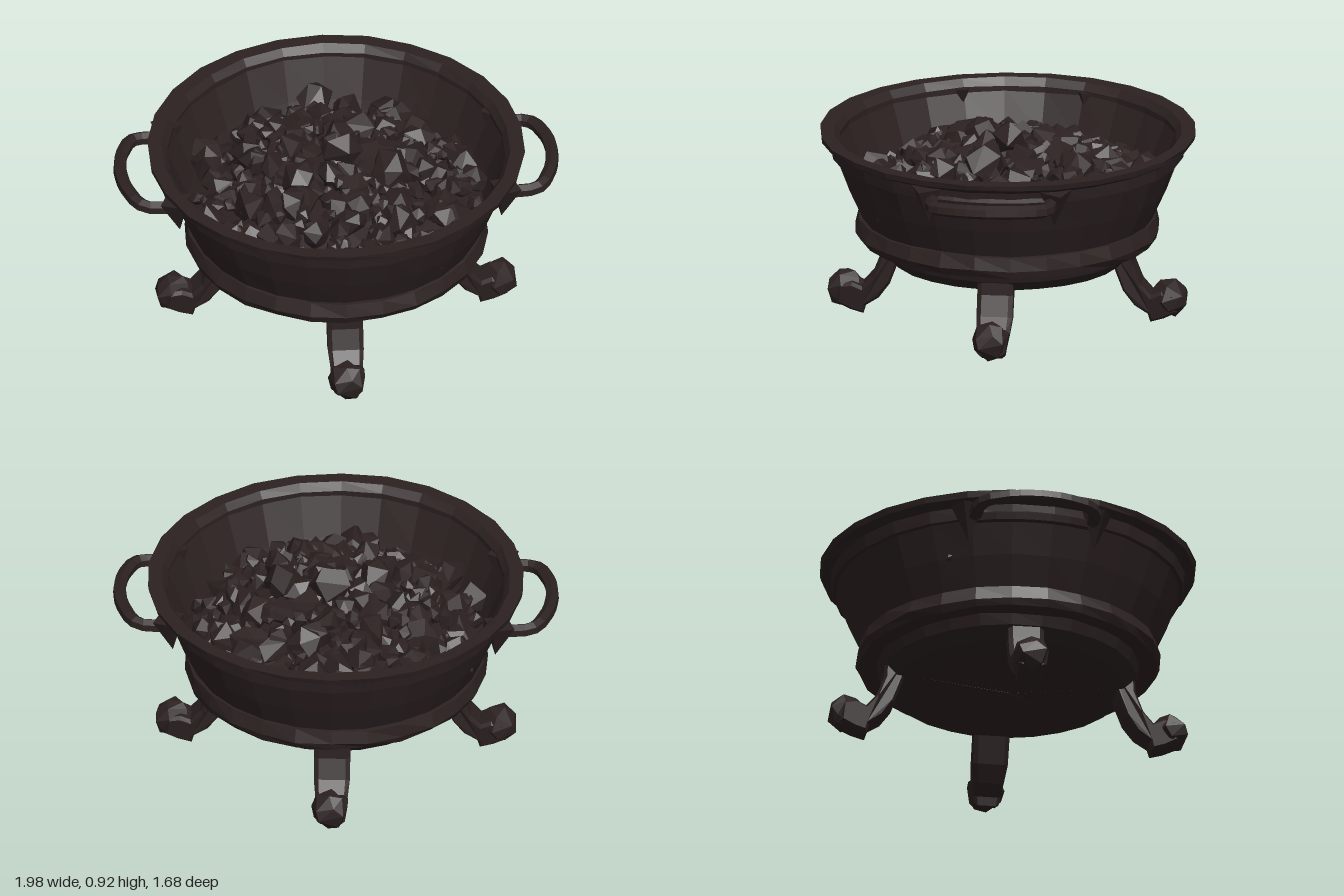
import * as THREE from 'three';
import { ConvexGeometry } from 'three/addons/geometries/ConvexGeometry.js';

function makeRandom(seed) {
  return () => {
    seed = (seed * 16807) % 2147483647;
    return seed / 2147483647;
  };
}

const SIDES = 26;
const v2 = ([x, y]) => new THREE.Vector2(x, y);

// Lathed ring or bowl, with slight hammered unevenness per vertex
function lathe(points, wobble, rand) {
  const geo = new THREE.LatheGeometry(points.map(v2), SIDES);
  const pos = geo.attributes.position;
  const n = points.length;
  const bumps = Array.from({ length: SIDES * n }, () => [rand() - 0.5, rand() - 0.5]);
  for (let i = 0; i < pos.count; i++) {
    const profileIndex = i % n;
    const side = Math.floor(i / n) % SIDES;
    // closed profiles share their first and last point
    const closed = points[0][0] === points[n - 1][0] && points[0][1] === points[n - 1][1];
    const [a, b] = bumps[side * n + (closed && profileIndex === n - 1 ? 0 : profileIndex)];
    const k = 1 + a * wobble;
    pos.setXYZ(i, pos.getX(i) * k, pos.getY(i) + b * wobble * 0.5, pos.getZ(i) * k);
  }
  return geo;
}

// Irregular faceted lump
function lump(rand, points) {
  const pts = [];
  for (let i = 0; i < points; i++) {
    const y = 1 - (2 * (i + 0.5)) / points;
    const a = i * 2.4 + rand() * 0.9;
    const r = Math.sqrt(1 - y * y);
    const s = 0.85 + rand() * 0.25;
    pts.push(new THREE.Vector3(Math.cos(a) * r * s, y * s, Math.sin(a) * r * s));
  }
  return new ConvexGeometry(pts);
}

export function createModel() {
  const rand = makeRandom(4271);
  const iron = new THREE.MeshStandardMaterial({ color: 0x2c2121, flatShading: true });
  iron.name = 'dark iron';
  const model = new THREE.Group();
  model.name = 'brazier';

  const add = (parent, name, geo) => {
    const mesh = new THREE.Mesh(geo, iron);
    mesh.name = name;
    parent.add(mesh);
    return mesh;
  };

  // Bowl: underside, outer wall, lip, inner wall and floor
  add(model, 'bowl', lathe([
    [0, 0.27], [0.45, 0.27], [0.52, 0.29], [0.57, 0.34], [0.59, 0.40],
    [0.645, 0.48], [0.71, 0.62], [0.765, 0.77], [0.79, 0.84],
    [0.775, 0.868], [0.755, 0.83], [0.68, 0.64], [0.62, 0.5], [0, 0.48],
  ], 0.004, rand));

  // Flared rim
  add(model, 'rim', lathe([
    [0.75, 0.765], [0.782, 0.77], [0.79, 0.825], [0.832, 0.848], [0.838, 0.874],
    [0.775, 0.874], [0.75, 0.84], [0.75, 0.765],
  ], 0.007, rand));

  // Chipped band around the lower wall
  add(model, 'lowerBand', lathe([
    [0.56, 0.388], [0.66, 0.39], [0.677, 0.425], [0.662, 0.485], [0.63, 0.49], [0.56, 0.388],
  ], 0.018, rand));

  // Four curled legs
  const legOutline = [
    [0.46, 0.37], [0.475, 0.28], [0.52, 0.16], [0.57, 0.09], [0.63, 0.05], [0.64, 0.012],
    [0.70, 0.03], [0.76, 0.06], [0.75, 0.15], [0.69, 0.16], [0.645, 0.14],
    [0.60, 0.19], [0.565, 0.28], [0.56, 0.37],
  ];
  const legGeo = new THREE.ExtrudeGeometry(new THREE.Shape(legOutline.map(v2)), {
    depth: 0.12, bevelEnabled: true, bevelSize: 0.012, bevelOffset: -0.012,
    bevelThickness: 0.02, bevelSegments: 1,
  });
  legGeo.translate(0, 0, -0.06);
  const lp = legGeo.attributes.position;
  for (let i = 0; i < lp.count; i++) {
    const taper = THREE.MathUtils.clamp(0.65 + lp.getY(i) * 2, 0.65, 1);
    lp.setZ(i, lp.getZ(i) * taper);
  }
  const footGeo = lump(rand, 22);
  for (let i = 0; i < 4; i++) {
    const leg = new THREE.Group();
    leg.name = 'leg' + (i + 1);
    add(leg, 'legCurve', legGeo);
    const foot = add(leg, 'footScroll', footGeo);
    foot.position.set(0.725, 0.12, 0);
    foot.scale.set(0.09, 0.09, 0.085);
    leg.rotation.y = (i * Math.PI) / 2;
    model.add(leg);
  }

  // Side handles with a backing bar and pointed brackets
  const handlePath = new THREE.CatmullRomCurve3([
    [0.76, 0.26], [0.86, 0.255], [0.905, 0.225], [0.95, 0.11], [0.962, 0],
    [0.95, -0.11], [0.905, -0.225], [0.86, -0.265], [0.76, -0.27],
  ].map(([x, z]) => new THREE.Vector3(x, 0.775 + Math.max(0, x - 0.84) * 0.13, z)), false, 'catmullrom', 0.2);
  const handleGeo = new THREE.TubeGeometry(handlePath, 18, 0.031, 6, false);
  const barPath = new THREE.CatmullRomCurve3([-0.42, -0.21, 0, 0.21, 0.42].map(
    (a) => new THREE.Vector3(Math.cos(a) * 0.775, 0.775, Math.sin(a) * 0.775)));
  const barGeo = new THREE.TubeGeometry(barPath, 8, 0.026, 5, false);
  const bracketGeo = new THREE.ConeGeometry(0.075, 0.17, 4);
  bracketGeo.rotateX(Math.PI);
  for (const [name, turn] of [['leftHandle', 0], ['rightHandle', Math.PI]]) {
    const handle = new THREE.Group();
    handle.name = name;
    add(handle, 'grip', handleGeo);
    add(handle, 'backingBar', barGeo);
    for (const s of [-1, 1]) {
      const bracket = add(handle, 'bracket', bracketGeo);
      bracket.position.set(0.725, 0.745, s * 0.285);
      bracket.rotation.set(0, -s * 0.38, -0.12);
    }
    handle.rotation.y = turn;
    model.add(handle);
  }

  // Heap of coals: a low mound under spiralled lumps
  const coals = new THREE.Group();
  coals.name = 'coals';
  model.add(coals);
  const heapY = (r) => 0.77 - 0.36 * r * r;
  add(coals, 'coalMound', lathe(
    [0.67, 0.5, 0.35, 0.18, 0].map((r) => [r, heapY(r) - 0.03]), 0.02, rand));
  const shapes = Array.from({ length: 12 }, (_, i) => lump(rand, 10 + (i % 4)));
  const COUNT = 260;
  for (let i = 0; i < COUNT; i++) {
    const r = 0.63 * Math.sqrt((i + 0.3) / COUNT);
    const a = i * 2.39996 + rand() * 0.3;
    const size = i % 3 === 0 ? 0.07 + rand() * 0.035 : 0.03 + rand() * 0.03;
    const coal = add(coals, 'coal', shapes[i % shapes.length]);
    coal.position.set(Math.cos(a) * r, heapY(r) + rand() * 0.025 - 0.01, Math.sin(a) * r);
    coal.scale.set(size, size * (0.75 + rand() * 0.25), size * (0.8 + rand() * 0.3));
    coal.rotation.set(rand() * 6, rand() * 6, rand() * 6);
  }
  // Larger pieces crowning the heap
  [[0.02, 0.845, -0.02, 0.1], [-0.17, 0.79, 0.13, 0.1], [0.24, 0.79, 0.08, 0.1], [-0.05, 0.7, -0.6, 0.09]]
    .forEach(([x, y, z, s], i) => {
      const coal = add(coals, 'largeCoal', shapes[i * 3]);
      coal.position.set(x, y, z);
      coal.scale.setScalar(s);
      coal.rotation.set(i, i * 2, i * 0.7);
    });

  return model;
}
